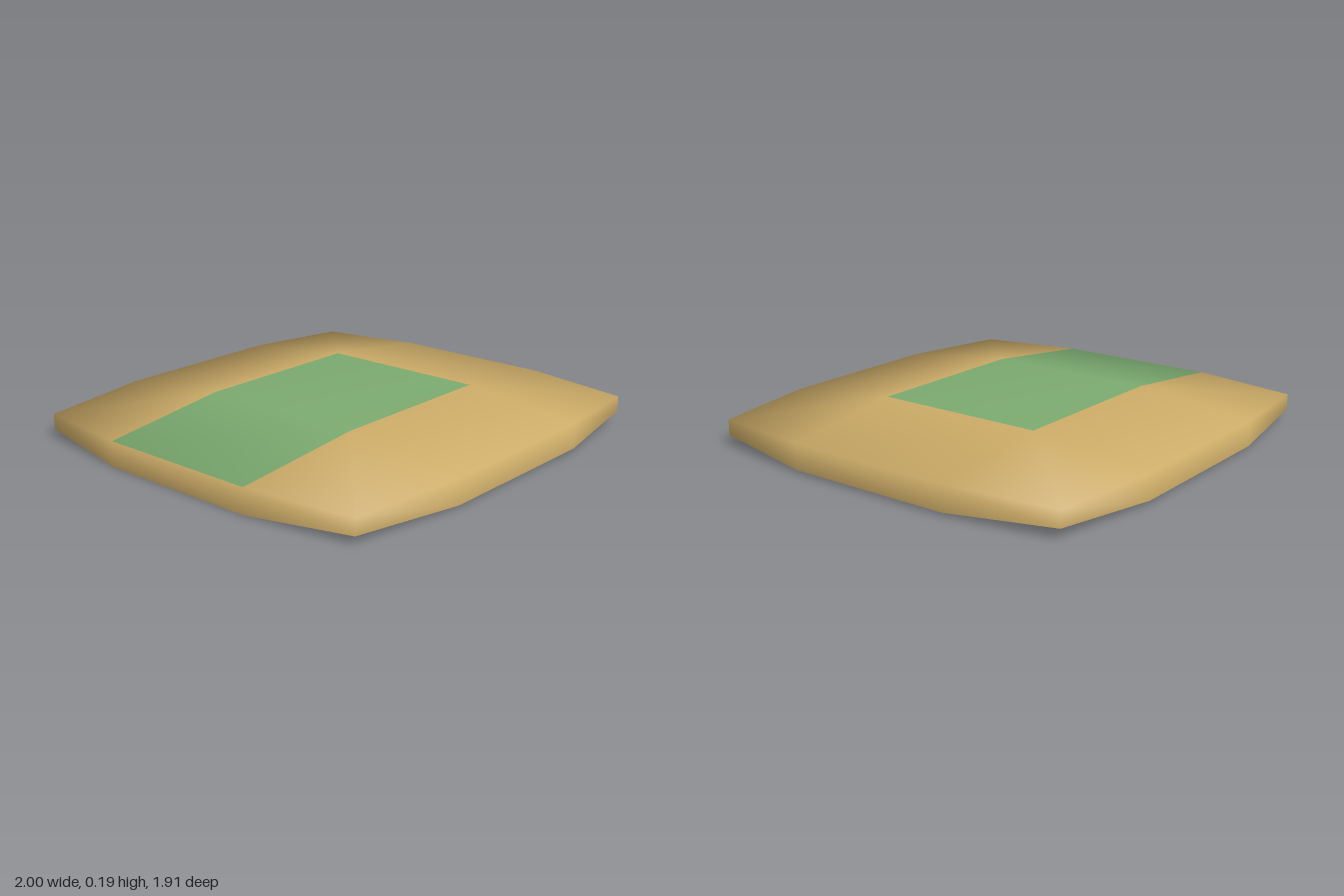
import * as THREE from 'three';

export function createModel() {
  const tan = new THREE.MeshStandardMaterial({ color: 0xcdac68, side: THREE.DoubleSide });
  tan.name = 'tanCloth';
  const green = new THREE.MeshStandardMaterial({ color: 0x7cab70, side: THREE.DoubleSide });
  green.name = 'greenCloth';

  const points = [];
  const addPoint = (x, y, z) => points.push(new THREE.Vector3(x, y + 0.006 * x, z)) - 1;

  // 4 x 4 grid of the canopy: flat middle, sloping rim, drawn-in corners
  const columns = [-0.4, 0.43];
  const rows = [-0.4, 0.4];
  const grid = [];
  for (let j = 0; j < 4; j++) {
    for (let i = 0; i < 4; i++) {
      const sideX = i === 0 ? -1 : i === 3 ? 1 : 0;
      const sideZ = j === 0 ? -1 : j === 3 ? 1 : 0;
      if (sideX && sideZ) grid.push(addPoint(0.928 * sideX, 0.115, 0.885 * sideZ));
      else if (sideX) grid.push(addPoint(sideX, 0.124, rows[j - 1] * 0.97));
      else if (sideZ) grid.push(addPoint(columns[i - 1], 0.128, 0.957 * sideZ));
      else grid.push(addPoint(columns[i - 1], 0.19, rows[j - 1]));
    }
  }

  // Canopy faces; the corner faces fold along the ridge to the corner
  const tanQuads = [], greenQuads = [];
  for (let j = 0; j < 3; j++) {
    for (let i = 0; i < 3; i++) {
      const k = j * 4 + i;
      const quad = [grid[k], grid[k + 4], grid[k + 5], grid[k + 1]];
      if (i !== 1 && j !== 1 && i !== j) quad.push(quad.shift());
      (j === 1 && i < 2 ? greenQuads : tanQuads).push(quad);
    }
  }

  // Hanging skirt around the rim, open underneath
  const rim = [12, 13, 14, 15, 11, 7, 3, 2, 1, 0, 4, 8];
  const hem = rim.map((k, n) => {
    const p = points[grid[k]];
    const y = n % 3 === 0 ? 0.044 : Math.abs(p.x) > 0.9 ? 0.009 : 0.015;
    return addPoint(p.x, y, p.z);
  });
  rim.forEach((k, n) => {
    const next = (n + 1) % rim.length;
    tanQuads.push([grid[k], hem[n], hem[next], grid[rim[next]]]);
  });

  // Soft normals: every neighbouring face counts equally
  const normals = points.map(() => new THREE.Vector3());
  const quads = [...tanQuads, ...greenQuads];
  for (const q of quads) {
    const [a, b, c, d] = q.map((v) => points[v]);
    const n = c.clone().sub(a).cross(d.clone().sub(b)).normalize();
    q.forEach((v) => normals[v].add(n));
  }
  normals.forEach((n) => n.normalize());

  const geometry = new THREE.BufferGeometry().setFromPoints(points);
  geometry.setAttribute('normal',
    new THREE.Float32BufferAttribute(normals.flatMap((n) => n.toArray()), 3));
  geometry.setIndex(quads.flatMap(([a, b, c, d]) => [a, b, c, a, c, d]));
  geometry.addGroup(0, tanQuads.length * 6, 0);
  geometry.addGroup(tanQuads.length * 6, greenQuads.length * 6, 1);

  const canopy = new THREE.Mesh(geometry, [tan, green]);
  canopy.name = 'canopy';
  const model = new THREE.Group();
  model.name = 'clothCanopy';
  model.add(canopy);
  return model;
}
